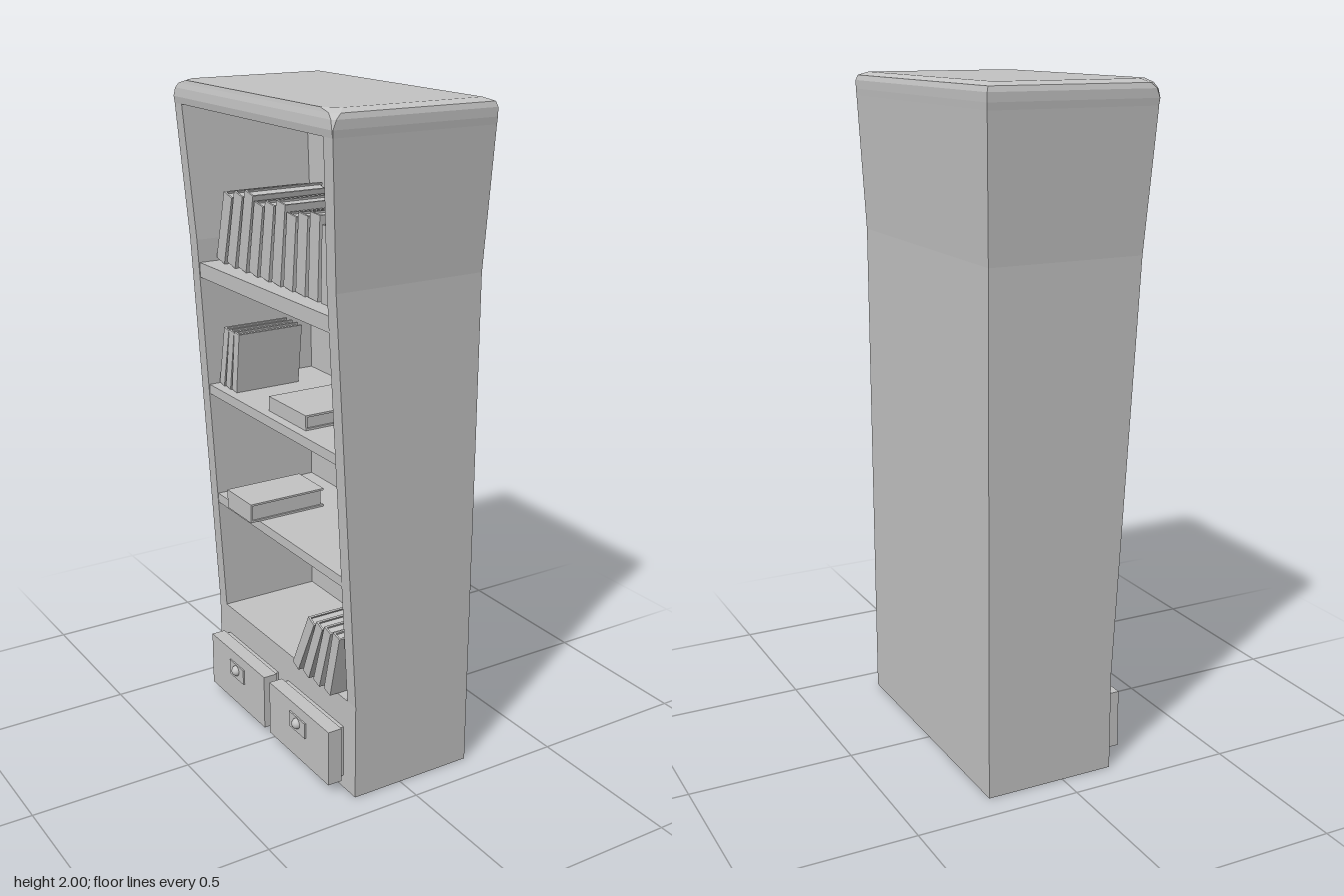
import * as THREE from 'three';

const grey = new THREE.MeshStandardMaterial({ color: 0xc4c4c4 });
grey.name = 'plain grey';

// Solid skinned over horizontal rings: [{ y, pts: [[x, z], ...] }], anticlockwise from above
function loft(rings) {
  const pos = [];
  const put = (r, i) => pos.push(r.pts[i][0], r.y, r.pts[i][1]);
  const n = rings[0].pts.length;
  for (let k = 0; k < rings.length - 1; k++) {
    const a = rings[k], b = rings[k + 1];
    for (let i = 0; i < n; i++) {
      const j = (i + 1) % n;
      put(a, i); put(a, j); put(b, j);
      put(a, i); put(b, j); put(b, i);
    }
  }
  const cap = (r, flip) => {
    const flat = r.pts.map(([x, z]) => new THREE.Vector2(x, -z));
    for (const f of THREE.ShapeUtils.triangulateShape(flat, [])) {
      (flip ? [f[0], f[2], f[1]] : f).forEach((i) => put(r, i));
    }
  };
  cap(rings[0], true);
  cap(rings[rings.length - 1], false);
  const g = new THREE.BufferGeometry();
  g.setAttribute('position', new THREE.Float32BufferAttribute(pos, 3));
  g.computeVertexNormals();
  return g;
}

function add(parent, name, geometry, x = 0, y = 0, z = 0) {
  const m = new THREE.Mesh(geometry, grey);
  m.name = name;
  m.position.set(x, y, z);
  parent.add(m);
  return m;
}

// Box given by its limits
function slab(parent, name, x0, x1, y0, y1, z0, z1) {
  return add(parent, name, new THREE.BoxGeometry(x1 - x0, y1 - y0, z1 - z0),
    (x0 + x1) / 2, (y0 + y1) / 2, (z0 + z1) / 2);
}

// Book standing on its bottom edge, spine towards -x
function book(parent, x, y, z, h, t, d, lean = 0) {
  const b = new THREE.Group();
  b.name = 'book';
  const c = 0.006;
  slab(b, 'bookCover', 0, d, 0, h, -t / 2, -t / 2 + c);
  slab(b, 'bookCover', 0, d, 0, h, t / 2 - c, t / 2);
  slab(b, 'bookSpine', 0, c, 0, h, -t / 2 + c, t / 2 - c);
  slab(b, 'bookPages', c, d - 0.008, 0.006, h - 0.006, -t / 2 + c, t / 2 - c);
  b.position.set(x, y + (t / 2) * Math.abs(Math.sin(lean)), z);
  b.rotation.x = lean;
  parent.add(b);
  return b;
}

// Book lying flat, from z towards +z
function lyingBook(parent, x, y, z, h, t, d, turn = 0) {
  const pivot = new THREE.Group();
  pivot.name = 'lyingBook';
  const b = book(pivot, 0, 0, 0, h, t, d);
  b.rotation.x = Math.PI / 2;
  b.position.y = t / 2;
  pivot.position.set(x, y, z);
  pivot.rotation.y = turn;
  parent.add(pivot);
}

export function createModel() {
  const root = new THREE.Group();
  root.name = 'bookcase';
  const inner = 0.17;

  // Side and back walls as one U-shaped section, flaring towards the top
  const levels = [
    [0, -0.16, 0.24, 0.415], [0.3, -0.16, 0.24, 0.415],
    [1.53, -0.23, 0.24, 0.415], [1.93, -0.255, 0.254, 0.438],
  ];
  add(root, 'walls', loft(levels.map(([y, f, b, z]) => {
    const w = z - 0.045;
    return { y, pts: [[f, z], [b, z], [b, -z], [f, -z], [f, -w], [inner, -w], [inner, w], [f, w]] };
  })));

  // Bevelled lid with cut front corners
  const lid = [
    [1.93, -0.255, 0.254, 0.438, 0.001], [1.95, -0.258, 0.255, 0.44, 0.002],
    [1.975, -0.256, 0.255, 0.44, 0.01], [1.99, -0.252, 0.25, 0.435, 0.022],
    [2, -0.25, 0.225, 0.41, 0.04],
  ];
  add(root, 'lid', loft(lid.map(([y, f, b, z, c]) => (
    { y, pts: [[f, z - c], [f + c, z], [b, z], [b, -z], [f + c, -z], [f, c - z]] }))));

  // Base and shelves
  slab(root, 'base', -0.16, inner, 0, 0.3, -0.37, 0.37);
  const shelves = [[0.7, 0.03, -0.18], [1.07, 0.03, -0.2], [1.46, 0.045, -0.222]];
  for (const [top, t, front] of shelves) {
    slab(root, 'shelf', front, inner, top - t, top, -0.372, 0.372);
  }

  // Drawers with handle plate and knob
  for (const s of [-1, 1]) {
    const d = new THREE.Group();
    d.name = 'drawer';
    d.position.z = s * 0.19;
    slab(d, 'drawerBody', -0.18, -0.155, 0.04, 0.205, -0.16, 0.16);
    slab(d, 'drawerFront', -0.22, -0.175, 0.033, 0.21, -0.173, 0.173);
    slab(d, 'handlePlate', -0.225, -0.218, 0.125, 0.175, -0.045, 0.045);
    add(d, 'knob', new THREE.SphereGeometry(0.017, 16, 12), -0.224, 0.155, 0);
    root.add(d);
  }

  // Full row on the top shelf, leaning more towards one end
  for (let i = 0; i < 11; i++) {
    const h = 0.215 + 0.012 * ((i * 7) % 3);
    book(root, -0.17, 1.46, -0.335 + i * 0.067, h, 0.05, 0.26, 0.26 * (1 - i / 10));
  }

  // Second shelf: a few upright books and a flat stack
  [0.2, 0.16, 0.12].forEach((lean, i) =>
    book(root, -0.17, 1.07, -0.345 + i * 0.04, 0.19, 0.03, 0.22, lean));
  lyingBook(root, -0.17, 1.07, -0.05, 0.21, 0.045, 0.27);

  // First shelf: one flat book overhanging the edge
  lyingBook(root, -0.21, 0.7, -0.25, 0.15, 0.06, 0.26);

  // Bottom: books slumped against the side
  [0.45, 0.38, 0.3, 0.24].forEach((lean, i) =>
    book(root, -0.186, 0.3, 0.12 + i * 0.06, 0.21, 0.035, 0.27, lean));

  return root;
}
